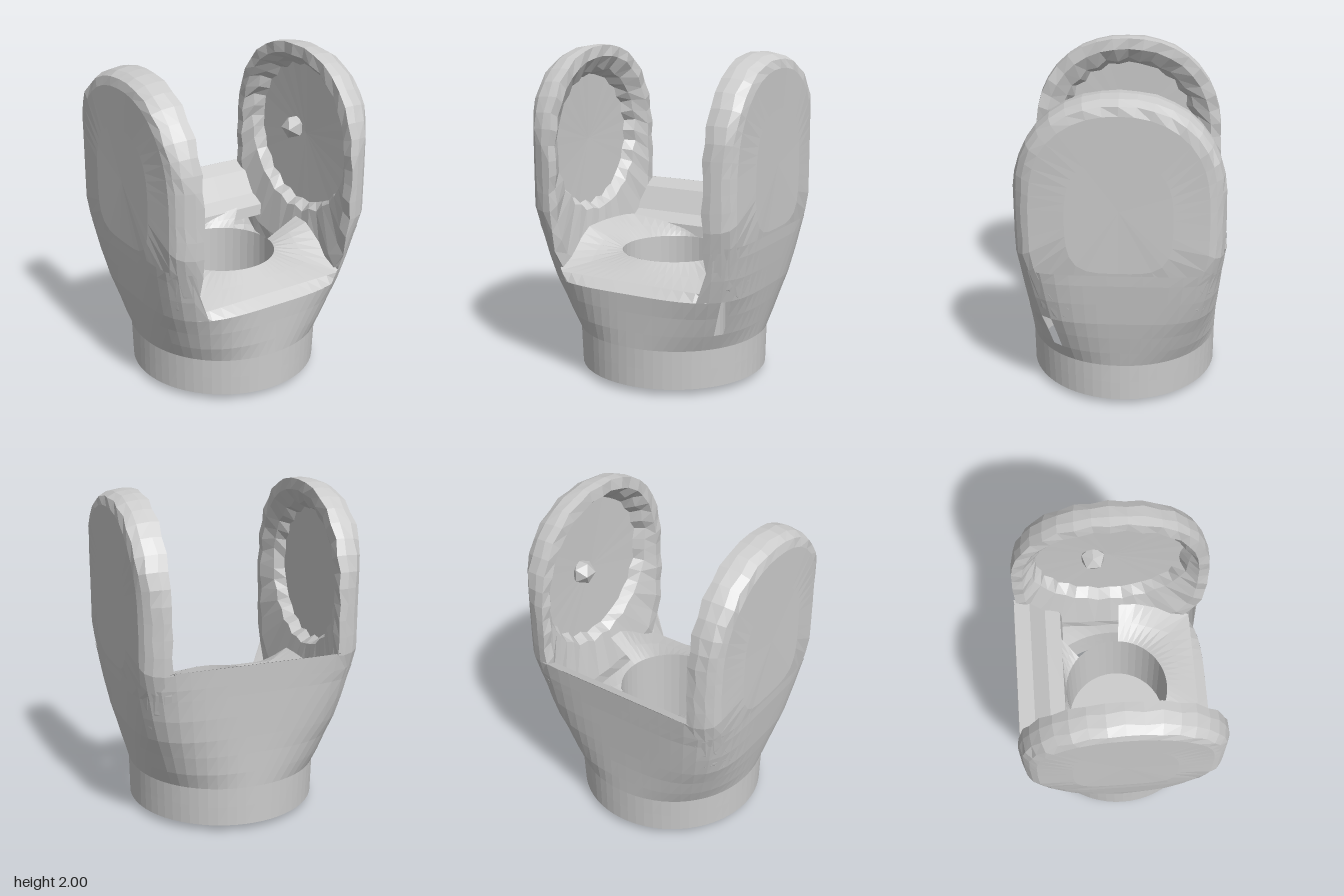
import * as THREE from 'three';

const material = new THREE.MeshStandardMaterial({ color: 0xcccccc, flatShading: true, side: THREE.DoubleSide });

// Surface through rows of [x, y, z] points; skip(row, column) leaves a gap
function grid(name, rows, skip = () => false) {
  const n = rows[0].length, index = [];
  for (let i = 0; i < rows.length - 1; i++) {
    for (let j = 0; j < n - 1; j++) {
      if (skip(i, j)) continue;
      const a = i * n + j, b = a + 1, c = a + n, d = c + 1;
      index.push(a, c, b, b, c, d);
    }
  }
  const geometry = new THREE.BufferGeometry();
  geometry.setAttribute('position', new THREE.Float32BufferAttribute(rows.flat(2), 3));
  geometry.setIndex(index);
  geometry.computeVertexNormals();
  const mesh = new THREE.Mesh(geometry, material);
  mesh.name = name;
  return mesh;
}

const range = (n, f) => Array.from({ length: n + 1 }, (_, i) => f(i / n, i));
const polar = (t, a, b, n) => Math.pow(Math.abs(Math.cos(t) / a) ** n + Math.abs(Math.sin(t) / b) ** n, -1 / n);

// Body cross-section by height: y, half width, half depth, squareness
const SECTIONS = [
  [0.04, 0.58, 0.58, 2], [0.28, 0.58, 0.58, 2.1], [0.5, 0.63, 0.585, 3],
  [0.62, 0.655, 0.59, 3.8], [0.88, 0.69, 0.605, 5.5], [1.06, 0.705, 0.618, 8],
];
function section(y) {
  let k = 0;
  while (k < SECTIONS.length - 2 && y > SECTIONS[k + 1][0]) k++;
  const p = SECTIONS[k], q = SECTIONS[k + 1];
  const f = THREE.MathUtils.clamp((y - p[0]) / (q[0] - p[0]), 0, 1);
  return p.map((v, i) => THREE.MathUtils.lerp(v, q[i], f));
}
function bodyPoint(t, y) {
  const [, a, b, n] = section(y), r = polar(t, a, b, n);
  return [r * Math.cos(t), y, r * Math.sin(t)];
}
// Pull a point just inside the body's cross-section
function fitInside(x, y, z) {
  const [, a, b, n] = section(y);
  const f = Math.min(1, 0.997 * polar(Math.atan2(z, x), a, b, n) / Math.hypot(x, z));
  return [x * f, y, z * f];
}

// Outer shell: round at the foot, square above, low in front and high at the back
function makeShell() {
  const top = (t) => {
    const s = Math.sin(t);
    if (s > 0.76) return 0.61;
    return s < -0.76 ? 1.06 : 0.95;
  };
  const levels = [0.04, 0.16, 0.28, 0.38, 0.5, 0.61, 0.75, 0.88, 0.95, 1.06];
  const rows = levels.map((y) => range(64, (u) => {
    const t = u * Math.PI * 2;
    return bodyPoint(t, Math.min(y, top(t)));
  }));
  // Broken-out window at the front left corner
  return grid('outerShell', rows, (i, j) => (i === 3 || i === 4) && j === 6);
}

// Ear: side plate, rounded towards the outside, with a round sloping recess on its inner face
function makeEar(side, recess) {
  const N = 40;
  const wobble = (k, i) => 0.007 * Math.sin(k * 5.3 + (i % N) * 2.9 + side);
  const outline = (s, x, k) => range(N, (u, i) => {
    const t = u * Math.PI * 2;
    const r = s * (Math.sin(t) > 0 ? polar(t, 0.605, 0.65, 2.25) : polar(t, 0.61, 0.77, 4));
    const w = k > 2 ? wobble(k, i) : 0;
    return fitInside(side * (x + w), 1.35 + r * Math.sin(t), r * Math.cos(t));
  });
  const circle = (r, x, k) => range(N, (u, i) => {
    const t = u * Math.PI * 2, rr = r + (r > 0 ? 2 * wobble(k, i) : 0);
    return [side * x, 1.4 + rr * Math.sin(t), rr * Math.cos(t)];
  });
  const rows = [
    outline(0, 0.697, 0), outline(0.5, 0.7, 1), outline(0.86, 0.703, 2), outline(0.94, 0.69, 3),
    outline(0.982, 0.64, 4), outline(1, 0.57, 5), outline(0.995, 0.515, 6), outline(0.89, 0.51, 7),
    circle(recess + 0.04, 0.56, 8), circle(recess, 0.625, 9), circle(0, 0.635, 10),
  ];
  return grid(side > 0 ? 'leftEar' : 'rightEar', rows);
}

// Deck rises from the front lip to the socket, the ears and the back wall
const HOLE = 0.325, HOLE_Y = 0.75;

function makeDeck() {
  const N = 64;
  const ring = (f) => range(N, (u) => {
    const t = u * Math.PI * 2, c = Math.cos(t), s = Math.sin(t);
    const edge = Math.min(0.53 / Math.abs(c), (s > 0 ? 0.52 : 0.34) / Math.abs(s));
    const r = THREE.MathUtils.lerp(edge, HOLE, f);
    const slope = THREE.MathUtils.clamp((0.52 - edge * s) / 0.35, 0, 1);
    const outer = 0.66 + slope * (0.14 + 0.07 * c * c);
    return [r * c, THREE.MathUtils.lerp(outer, HOLE_Y, f), r * s];
  });
  // Opening beside the socket on the left
  return grid('deck', [ring(0), ring(0.5), ring(1)], (i, j) => j < 1 || j >= N - 8);
}

function makeSocket() {
  const group = new THREE.Group();
  group.name = 'socket';
  const ring = (y) => range(40, (u) => [HOLE * Math.cos(u * Math.PI * 2), y, HOLE * Math.sin(u * Math.PI * 2)]);
  group.add(grid('socketWall', [ring(0.05), ring(HOLE_Y)]));

  // Floor with a square hole
  const shape = new THREE.Shape().absarc(0, 0, HOLE, 0, Math.PI * 2);
  const hole = [[-0.095, -0.08], [-0.095, 0.1], [0.095, 0.1], [0.095, -0.08]];
  shape.holes.push(new THREE.Path(hole.map(([x, y]) => new THREE.Vector2(x, y))));
  const floor = new THREE.Mesh(new THREE.ExtrudeGeometry(shape, { depth: 0.06, bevelEnabled: false, curveSegments: 20 }), material);
  floor.name = 'socketFloor';
  floor.rotation.x = -Math.PI / 2;
  floor.position.y = 0.08;
  group.add(floor);

  // Small key under the socket rim
  const key = new THREE.Mesh(new THREE.CylinderGeometry(0.07, 0.055, 0.06, 6), material);
  key.name = 'socketKey';
  key.scale.z = 0.25;
  key.position.set(0, 0.03, -0.325);
  group.add(key);
  return group;
}

// Inner face of the back wall with its stepped ledge
function makeBackWall() {
  const profile = [[1.06, -0.615], [1.01, -0.52], [0.87, -0.43], [0.82, -0.335], [0.75, -0.325]];
  return grid('backWall', profile.map(([y, z]) => range(4, (u) => [-0.53 + 1.06 * u, y, z])));
}

// Sloping lip between the front edge of the shell and the deck
function makeFrontLip() {
  const edge = range(14, (u) => bodyPoint(Math.PI * (0.745 - 0.49 * u), 0.61));
  const inner = edge.map(([x]) => [x, 0.66, 0.515]);
  return grid('frontLip', [edge, inner]);
}

export function createModel() {
  const model = new THREE.Group();
  model.name = 'forkedHousing';
  model.add(makeShell(), makeDeck(), makeSocket(), makeBackWall(), makeFrontLip());
  model.add(makeEar(1, 0.45), makeEar(-1, 0.41));

  // Pivot stud inside the left ear
  const stud = new THREE.Mesh(new THREE.IcosahedronGeometry(0.08, 0), material);
  stud.name = 'pivotStud';
  stud.position.set(0.61, 1.42, -0.1);
  model.add(stud);
  return model;
}
